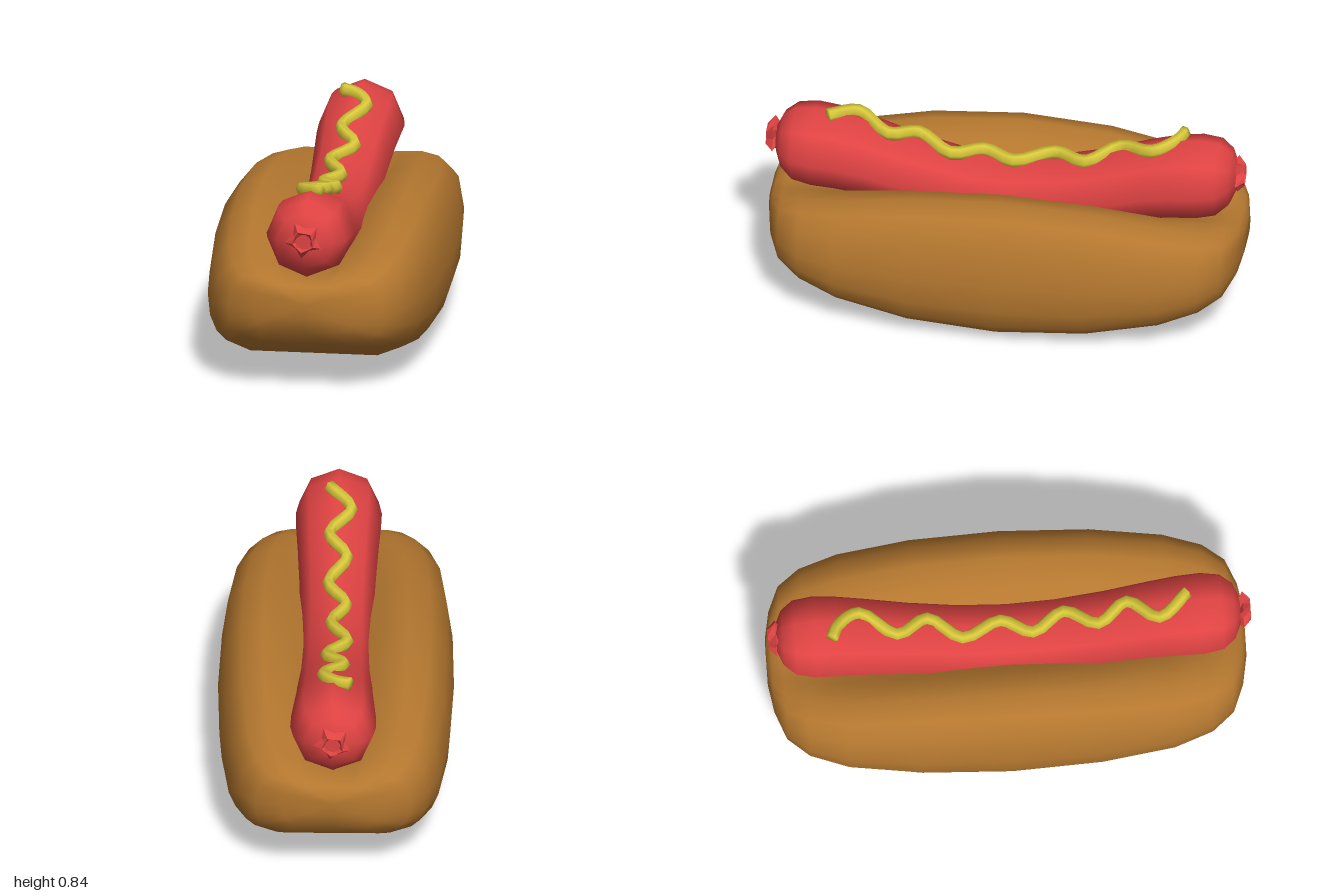
import * as THREE from 'three';

const bread = new THREE.MeshStandardMaterial({ color: 0xb4772f });
bread.name = 'bread brown';
const meat = new THREE.MeshStandardMaterial({ color: 0xe04343 });
meat.name = 'sausage red';
const sauce = new THREE.MeshStandardMaterial({ color: 0xd8c83a });
sauce.name = 'mustard yellow';

// Skins a series of rings (counter-clockwise seen from the far end) and caps both ends
function loft(rings, faceted = false) {
  const n = rings[0].length, last = (rings.length - 1) * n;
  const points = rings.flat();
  const index = [];
  for (let r = 0; r < rings.length - 1; r++) {
    for (let i = 0; i < n; i++) {
      const a = r * n + i, b = r * n + (i + 1) % n;
      index.push(a, b, a + n, b, b + n, a + n);
    }
  }
  const middle = ring => ring.reduce((s, p) => s.add(p), new THREE.Vector3()).divideScalar(n);
  const start = points.length, end = start + 1;
  points.push(middle(rings[0]), middle(rings[rings.length - 1]));
  for (let i = 0; i < n; i++) {
    const j = (i + 1) % n;
    index.push(start, j, i, end, last + i, last + j);
  }
  let geometry = new THREE.BufferGeometry().setFromPoints(points);
  geometry.setIndex(index);
  if (faceted) geometry = geometry.toNonIndexed();
  geometry.computeVertexNormals();
  return geometry;
}

function part(name, geometry, material) {
  const mesh = new THREE.Mesh(geometry, material);
  mesh.name = name;
  return mesh;
}

// Turns a half list (middle to tip) into a full list running from back to front
const bothEnds = half => [
  ...half.slice(1).reverse().map(([z, ...rest]) => [-z, ...rest]), ...half];

const circle = (n, radius, y, z, turn = Math.PI / 2) =>
  Array.from({ length: n }, (_, i) => {
    const a = turn + i / n * Math.PI * 2;
    const r = typeof radius === 'function' ? radius(i) : radius;
    return new THREE.Vector3(Math.cos(a) * r, y + Math.sin(a) * r, z);
  });

// Bun: one grooved cross-section, scaled along the length
function makeBun() {
  const side = [[0.29, 0], [0.4, 0.055], [0.445, 0.11], [0.475, 0.2], [0.485, 0.33],
    [0.46, 0.515], [0.39, 0.607], [0.3, 0.637], [0.19, 0.6], [0.13, 0.53]];
  const outline = [[0, 0], ...side, [0, 0.46],
    ...side.slice().reverse().map(([x, y]) => [-x, y])];
  // distance from middle, half width, bottom, top, groove depth
  const stations = bothEnds([
    [0, 0.485, 0.003, 0.637, 1], [0.37, 0.474, 0.03, 0.613, 1],
    [0.67, 0.44, 0.095, 0.56, 0.8], [0.83, 0.39, 0.155, 0.525, 0.5],
    [0.92, 0.32, 0.21, 0.495, 0.15], [0.965, 0.21, 0.27, 0.465, 0],
    [0.985, 0.1, 0.33, 0.43, 0]]);
  return loft(stations.map(([z, w, bottom, top, groove]) => outline.map(([x, y]) => {
    const inGroove = Math.abs(x) < 0.25 && y > 0.4;
    const h = inGroove ? THREE.MathUtils.lerp(0.637, y, groove) : y;
    return new THREE.Vector3(x * w / 0.485, bottom + h / 0.637 * (top - bottom), z - 0.01);
  })));
}

// Sausage: sagging eight-sided body; distance from middle, centre height, radius
function makeSausage() {
  const stations = bothEnds([
    [0, 0.492, 0.15], [0.2, 0.51, 0.151], [0.4, 0.556, 0.156], [0.58, 0.609, 0.166],
    [0.7, 0.634, 0.174], [0.8, 0.645, 0.177], [0.88, 0.65, 0.163],
    [0.93, 0.655, 0.12], [0.955, 0.66, 0.06]]);
  return loft(stations.map(([z, y, r]) => circle(8, r, y, z)));
}

// Twisted casing end: a crumpled star with a hollow tip
function makeKnot() {
  const star = i => (i % 2 ? 0.05 : 0.08);
  return loft([
    circle(10, 0.04, 0.665, 0.93),
    circle(10, star, 0.67, 0.967, 0.8),
    circle(10, i => (i % 2 ? 0.038 : 0.046), 0.668, 0.998, 0.8),
    circle(10, 0.032, 0.665, 0.98, 0.8)], true);
}

// Mustard: a thick zigzag bead following the sag of the sausage
function makeMustard() {
  const path = new THREE.CatmullRomCurve3([
    [-0.07, 0.81, -0.73], [-0.01, 0.802, -0.7], [0.045, 0.78, -0.61], [-0.04, 0.73, -0.46],
    [0.035, 0.692, -0.33], [-0.05, 0.667, -0.19], [0.02, 0.655, -0.03], [-0.04, 0.658, 0.1],
    [0.035, 0.678, 0.23], [-0.04, 0.715, 0.37], [0.035, 0.75, 0.49], [-0.055, 0.784, 0.62],
    [0.035, 0.815, 0.74]].map(p => new THREE.Vector3(...p)));
  const up = new THREE.Vector3(0, 1, 0), steps = 48, rings = [];
  for (let s = 0; s <= steps; s++) {
    const centre = path.getPoint(s / steps), tangent = path.getTangent(s / steps);
    const across = new THREE.Vector3().crossVectors(up, tangent).normalize();
    rings.push(Array.from({ length: 6 }, (_, i) => {
      const a = i / 6 * Math.PI * 2;
      return centre.clone().addScaledVector(across, Math.cos(a) * 0.026)
        .addScaledVector(up, Math.sin(a) * 0.03);
    }));
  }
  return loft(rings);
}

export function createModel() {
  const model = new THREE.Group();
  model.name = 'hotDog';
  const knot = makeKnot();
  const backKnot = part('backKnot', knot, meat);
  backKnot.rotation.y = Math.PI;
  backKnot.scale.z = 0.99;
  model.add(
    part('bun', makeBun(), bread),
    part('sausage', makeSausage(), meat),
    part('frontKnot', knot, meat),
    backKnot,
    part('mustard', makeMustard(), sauce));
  return model;
}
